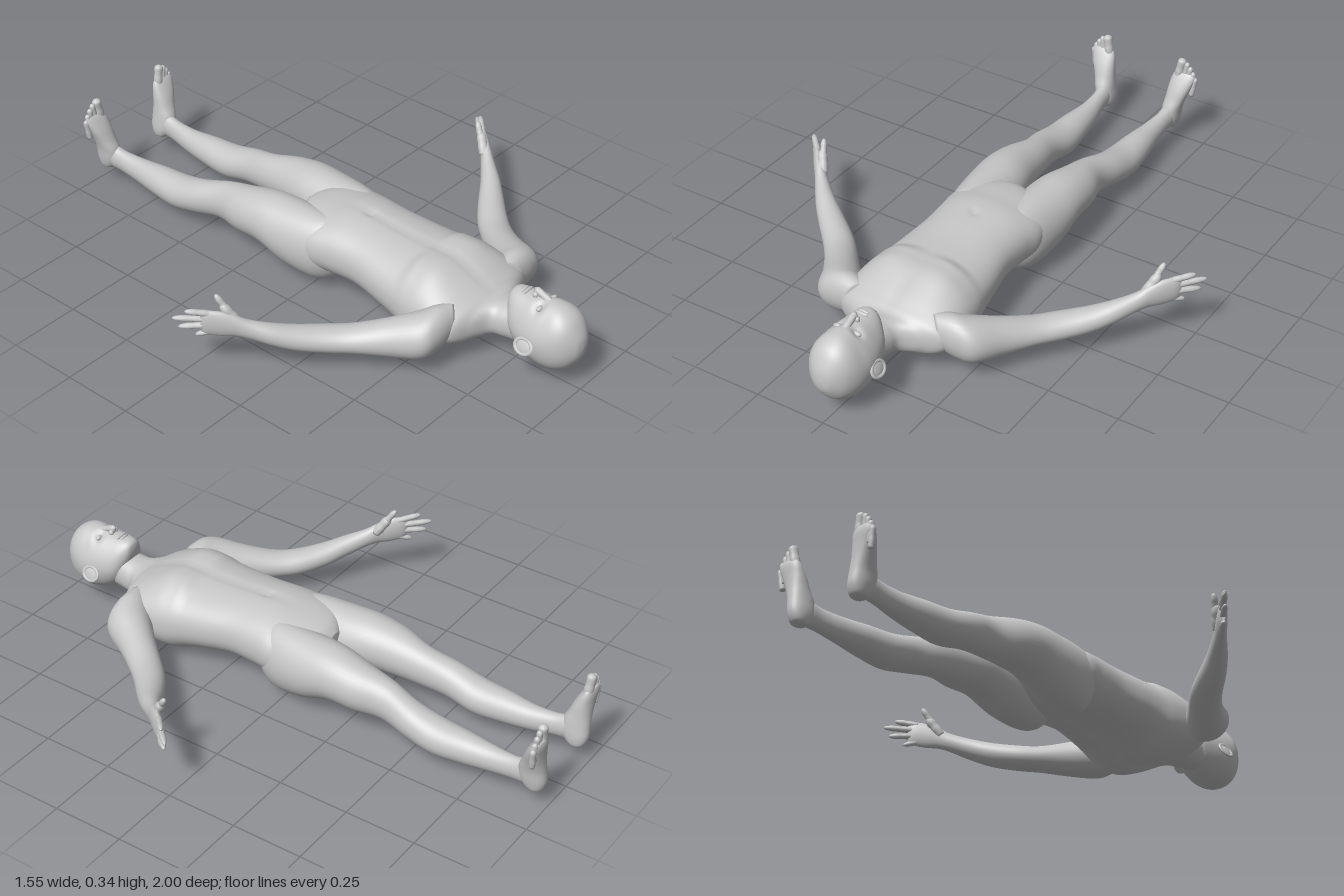
import * as THREE from 'three';

const skin = new THREE.MeshStandardMaterial({ color: 0xc6c6c6 });
skin.name = 'plain grey skin';

const X = new THREE.Vector3(1, 0, 0), Y = new THREE.Vector3(0, 1, 0), Z = new THREE.Vector3(0, 0, 1);
const bell = (d, w) => Math.exp(-(d * d) / (w * w));
const step = THREE.MathUtils.smoothstep;

// Smooth Catmull-Rom value between key rows
function sample(keys, t) {
  const i = Math.min(Math.floor(t), keys.length - 2), f = t - i;
  const at = (k) => keys[Math.max(0, Math.min(keys.length - 1, k))];
  return keys[0].map((_, c) => {
    const [a, b, d, e] = [at(i - 1)[c], at(i)[c], at(i + 1)[c], at(i + 2)[c]];
    return b + 0.5 * f * (d - a + f * (2 * a - 5 * b + 4 * d - e + f * (3 * (b - d) + e - a)));
  });
}

// Closed skin through rounded sections; key = [x, y, z, half size along u, half size along v]
function loft(keys, u, v, { sides = 32, sub = 5, power = 2, shape } = {}) {
  const pos = [], idx = [], rows = (keys.length - 1) * sub;
  const p = new THREE.Vector3();
  const soft = (c) => Math.sign(c) * Math.abs(c) ** (2 / power);
  for (let r = 0; r <= rows; r++) {
    const k = sample(keys, r / sub);
    for (let s = 0; s < sides; s++) {
      const a = (s / sides) * Math.PI * 2;
      p.set(k[0], k[1], k[2]).addScaledVector(u, k[3] * soft(Math.cos(a))).addScaledVector(v, k[4] * soft(Math.sin(a)));
      if (shape) shape(p);
      pos.push(p.x, p.y, p.z);
    }
  }
  const first = keys[0], last = keys[keys.length - 1];
  const along = new THREE.Vector3(last[0] - first[0], last[1] - first[1], last[2] - first[2]);
  const flip = u.clone().cross(v).dot(along) < 0;
  const tri = (a, b, c) => (flip ? idx.push(a, c, b) : idx.push(a, b, c));
  const end = rows * sides, c0 = end + sides;
  pos.push(...first.slice(0, 3), ...last.slice(0, 3));
  for (let s = 0; s < sides; s++) {
    const n = (s + 1) % sides;
    for (let r = 0; r < rows; r++) {
      const a = r * sides + s, b = r * sides + n;
      tri(a, b, b + sides);
      tri(a, b + sides, a + sides);
    }
    tri(c0, n, s);
    tri(c0 + 1, end + s, end + n);
  }
  const g = new THREE.BufferGeometry();
  g.setAttribute('position', new THREE.Float32BufferAttribute(pos, 3));
  g.setIndex(idx);
  g.computeVertexNormals();
  return g;
}

// Round-ended finger or toe from a to b
function digit(a, b, r, tip = 0.75) {
  const A = new THREE.Vector3(...a), B = new THREE.Vector3(...b);
  const dir = B.clone().sub(A).normalize();
  const u = dir.clone().cross(Math.abs(dir.x) > 0.6 ? Y : X).normalize(), v = dir.clone().cross(u);
  const profile = [[0, 0.9], [0.3, 1], [0.5, 0.92], [0.7, 0.95], [0.86, tip], [0.95, tip * 0.65], [1, 0.06]];
  const keys = profile.map(([t, w]) => [...A.clone().lerp(B, t).toArray(), r * w, r * w]);
  return loft(keys, u, v, { sides: 12, sub: 3 });
}

function blob(x, y, z, a, b, c, tilt = 0) {
  return new THREE.SphereGeometry(1, 24, 16).scale(a, b, c).rotateZ(tilt).translate(x, y, z);
}

function mirrored(geo) {
  const g = geo.clone().scale(-1, 1, 1), i = g.index.array;
  for (let k = 0; k < i.length; k += 3) [i[k + 1], i[k + 2]] = [i[k + 2], i[k + 1]];
  g.computeVertexNormals();
  return g;
}

export function createModel() {
  const model = new THREE.Group();
  model.name = 'lyingFigure';
  const add = (name, g) => {
    const m = new THREE.Mesh(g, skin);
    m.name = name;
    model.add(m);
  };
  const pair = (name, g) => {
    add('left' + name, g);
    add('right' + name, mirrored(g));
  };

  // Torso and neck, with chest, navel, spine and shoulder blades
  const torso = [
    [0.80, 0.155, 0.060, 0.065], [0.73, 0.146, 0.066, 0.064], [0.69, 0.142, 0.078, 0.063], [0.66, 0.138, 0.135, 0.066],
    [0.63, 0.138, 0.195, 0.080], [0.58, 0.138, 0.215, 0.105], [0.50, 0.138, 0.212, 0.134], [0.44, 0.139, 0.206, 0.136],
    [0.38, 0.149, 0.194, 0.125], [0.30, 0.160, 0.183, 0.115], [0.20, 0.171, 0.170, 0.111], [0.10, 0.172, 0.175, 0.115],
    [0.03, 0.170, 0.183, 0.108], [-0.04, 0.176, 0.165, 0.093], [-0.09, 0.185, 0.100, 0.070], [-0.12, 0.190, 0.030, 0.040],
  ].map(([z, y, w, h]) => [0, y, z, w, h]);
  add('torso', loft(torso, X, Y, {
    sides: 80, sub: 8, power: 2.25,
    shape: (p) => {
      const ax = Math.abs(p.x), mid = step(p.z, 0, 0.15) * (1 - step(p.z, 0.58, 0.68));
      if (p.y > 0.16) {
        const chest = step(p.z, 0.385, 0.43) * (1 - step(p.z, 0.48, 0.62));
        p.y += 0.013 * chest * bell(ax - 0.1, 0.07) - 0.005 * mid * bell(p.x, 0.015);
        p.y -= 0.009 * bell(p.x, 0.012) * bell(p.z - 0.15, 0.014);
      } else {
        p.y += 0.02 * mid * bell(p.x, 0.03);
        p.y -= 0.009 * bell(ax - 0.1, 0.05) * bell(p.z - 0.47, 0.1);
      }
    },
  }));

  // Head: skull to chin, narrowing to the face, with eye sockets
  const head = [
    [1.0, 0.162, 0.004, 0.006], [0.993, 0.163, 0.033, 0.042], [0.965, 0.166, 0.068, 0.088], [0.925, 0.167, 0.089, 0.113],
    [0.88, 0.168, 0.097, 0.118], [0.84, 0.172, 0.095, 0.111], [0.80, 0.180, 0.087, 0.100], [0.765, 0.196, 0.075, 0.083],
    [0.742, 0.222, 0.055, 0.054], [0.729, 0.238, 0.034, 0.028], [0.725, 0.242, 0.004, 0.004],
  ].map(([z, y, w, h]) => [0, y, z, w, h]);
  add('head', loft(head, X, Y, {
    sides: 80, sub: 8, power: 2.15,
    shape: (p) => {
      p.x *= 1 - 0.2 * step(p.y, 0.16, 0.29) * (1 - step(p.z, 0.88, 0.96));
      if (p.y > 0.2) p.y -= 0.013 * bell(Math.abs(p.x) - 0.036, 0.018) * bell(p.z - 0.853, 0.015);
    },
  }));

  // Face
  add('noseBridge', digit([0, 0.272, 0.873], [0, 0.301, 0.806], 0.0125));
  add('noseTip', blob(0, 0.292, 0.818, 0.012, 0.015, 0.011));
  add('upperLip', blob(0, 0.278, 0.781, 0.024, 0.008, 0.006));
  add('lowerLip', blob(0, 0.276, 0.769, 0.020, 0.009, 0.006));
  add('chin', blob(0, 0.253, 0.744, 0.024, 0.018, 0.016));
  pair('Nostril', blob(0.012, 0.284, 0.817, 0.008, 0.010, 0.009));
  pair('Eye', blob(0.036, 0.263, 0.853, 0.015, 0.009, 0.009));
  pair('Ear', blob(0.099, 0.152, 0.845, 0.007, 0.027, 0.031, 0.42));
  pair('EarRim', new THREE.TorusGeometry(0.026, 0.006, 8, 28).rotateY(Math.PI / 2)
    .scale(0.8, 0.95, 1.15).rotateZ(0.42).translate(0.103, 0.151, 0.845));

  // Arms reach out and down, ending in upright flat palms
  const across = new THREE.Vector3(0.72, 0, 0.69);
  const arm = [
    [0.14, 0.160, 0.600, 0.045, 0.055], [0.20, 0.148, 0.582, 0.066, 0.076], [0.25, 0.134, 0.552, 0.076, 0.077],
    [0.31, 0.118, 0.470, 0.062, 0.062], [0.375, 0.109, 0.385, 0.055, 0.046], [0.43, 0.111, 0.325, 0.052, 0.044],
    [0.50, 0.125, 0.265, 0.045, 0.042], [0.56, 0.148, 0.215, 0.035, 0.038], [0.61, 0.172, 0.165, 0.025, 0.034],
    [0.64, 0.188, 0.134, 0.020, 0.039], [0.67, 0.197, 0.102, 0.018, 0.046], [0.70, 0.203, 0.070, 0.014, 0.044],
    [0.714, 0.205, 0.056, 0.006, 0.034],
  ];
  pair('Arm', loft(arm, across, Y));
  const fingers = [
    [[0.688, 0.235, 0.080], [0.748, 0.250, 0.022]], [[0.692, 0.215, 0.076], [0.772, 0.223, -0.010]],
    [[0.690, 0.194, 0.080], [0.760, 0.190, 0.004]], [[0.680, 0.173, 0.090], [0.724, 0.157, 0.042]],
  ];
  fingers.forEach(([a, b], i) => pair('Finger' + (i + 1), digit(a, b, i === 3 ? 0.0095 : 0.011)));
  pair('ThumbBase', digit([0.627, 0.195, 0.135], [0.658, 0.262, 0.092], 0.018));
  pair('Thumb', digit([0.645, 0.238, 0.108], [0.663, 0.292, 0.073], 0.0115));

  // Legs from buttock to ankle
  const leg = [
    [0.11, 0.085, 0.160, 0.045, 0.070], [0.06, 0.092, 0.150, 0.078, 0.112], [0, 0.099, 0.146, 0.091, 0.122],
    [-0.10, 0.103, 0.154, 0.099, 0.114], [-0.20, 0.110, 0.172, 0.092, 0.093], [-0.30, 0.117, 0.163, 0.078, 0.083],
    [-0.40, 0.112, 0.150, 0.059, 0.070], [-0.50, 0.127, 0.128, 0.058, 0.063], [-0.60, 0.127, 0.105, 0.062, 0.060],
    [-0.70, 0.127, 0.104, 0.053, 0.054], [-0.80, 0.127, 0.105, 0.038, 0.045], [-0.88, 0.132, 0.112, 0.028, 0.041],
    [-0.93, 0.135, 0.120, 0.027, 0.045], [-0.96, 0.136, 0.120, 0.020, 0.035],
  ].map(([z, x, y, w, h]) => [x, y, z, w, h]);
  pair('Leg', loft(leg, X, Y, { sides: 40 }));

  // Feet point up, soles facing away from the head
  const foot = [
    [0.133, 0.063, -0.957, 0.006, 0.008], [0.133, 0.072, -0.958, 0.025, 0.028], [0.135, 0.105, -0.952, 0.033, 0.046],
    [0.140, 0.150, -0.950, 0.034, 0.046], [0.148, 0.190, -0.957, 0.037, 0.037], [0.157, 0.230, -0.965, 0.042, 0.030],
    [0.165, 0.265, -0.975, 0.044, 0.022], [0.170, 0.285, -0.980, 0.038, 0.013], [0.171, 0.290, -0.980, 0.020, 0.005],
  ];
  pair('Foot', loft(foot, X, Z, { power: 2.2 }));
  const toes = [[0.143, 0.156, 0.340], [0.166, 0.176, 0.330], [0.180, 0.189, 0.315], [0.191, 0.201, 0.297], [0.199, 0.210, 0.277]];
  toes.forEach(([x0, x1, y], i) =>
    pair('Toe' + (i + 1), digit([x0, y - 0.075, -0.976], [x1, y, -0.981], i ? 0.0105 : 0.0165, 0.95)));

  return model;
}
